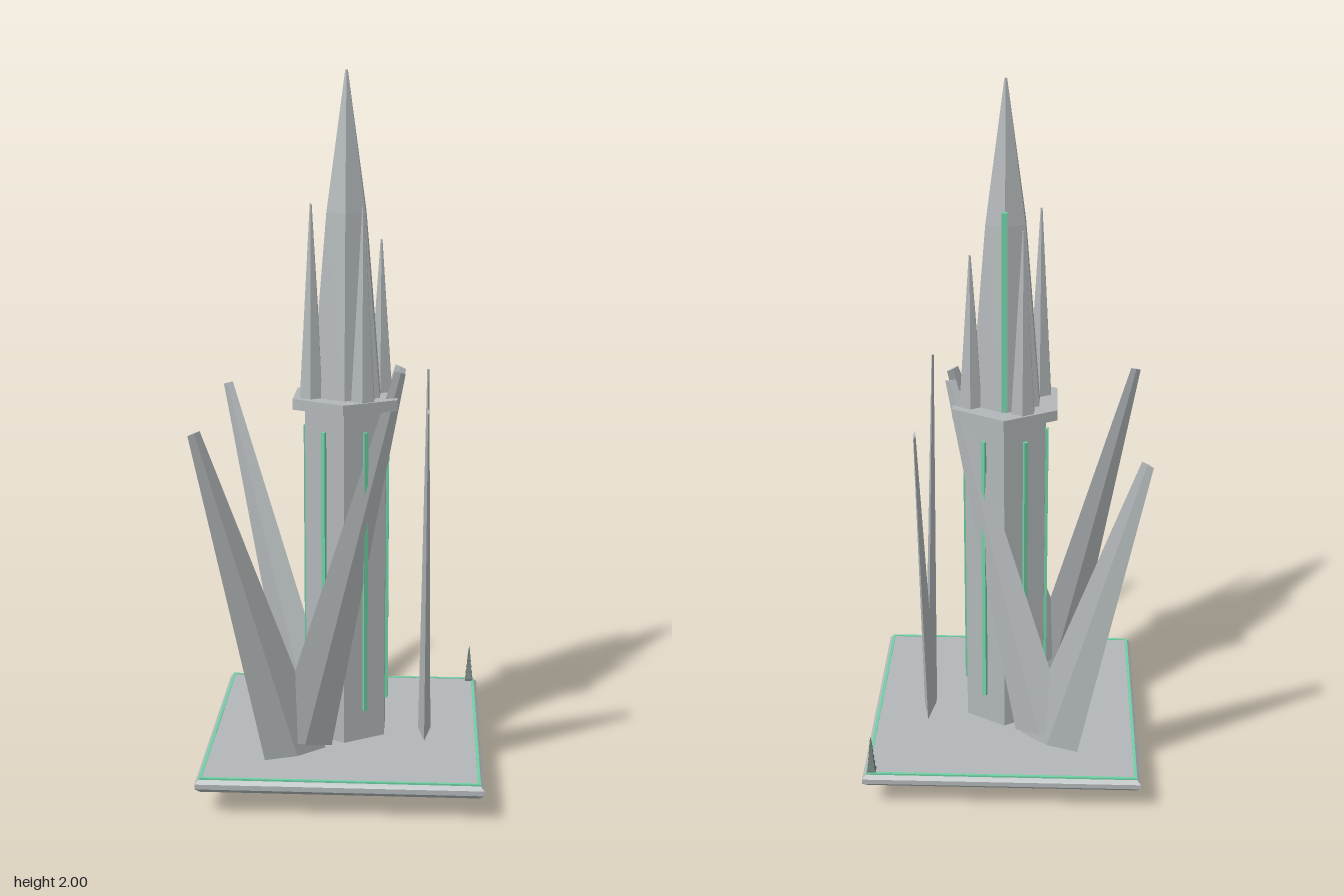
import * as THREE from 'three';

export function createModel() {
  const model = new THREE.Group();
  const material = (name, color) => {
    const m = new THREE.MeshStandardMaterial({ color });
    m.name = name;
    m.flatShading = true;
    return m;
  };
  const stone = material('pale stone', 0xb2b7b9);
  const glow = material('mint glow', 0x6fcfa4);
  const dark = material('dark metal', 0x6f7d78);

  const add = (name, geometry, mat, x = 0, y = 0, z = 0, parent = model) => {
    const mesh = new THREE.Mesh(geometry, mat);
    mesh.name = name;
    mesh.position.set(x, y, z);
    parent.add(mesh);
    return mesh;
  };
  const square = (h) => [[-h, -h], [h, -h], [h, h], [-h, h]].map(([x, y]) => new THREE.Vector2(x, y));

  // Prism or pyramid standing on y0
  const prism = (name, rBottom, rTop, y0, y1, sides = 6, x = 0, z = 0, mat = stone) =>
    add(name, new THREE.CylinderGeometry(rTop, rBottom, y1 - y0, sides), mat, x, (y0 + y1) / 2, z);

  // Bevelled square base with a glowing inlay along its rim
  const slab = new THREE.ExtrudeGeometry(new THREE.Shape(square(0.382)), {
    depth: 0.014, bevelEnabled: true, bevelSize: 0.013, bevelThickness: 0.013, bevelSegments: 1,
  });
  slab.rotateX(-Math.PI / 2);
  add('base', slab, stone, 0, 0.083, 0);

  const rim = new THREE.Shape(square(0.385));
  rim.holes.push(new THREE.Path(square(0.377).reverse()));
  const rimGeometry = new THREE.ExtrudeGeometry(rim, { depth: 0.005, bevelEnabled: false });
  rimGeometry.rotateX(-Math.PI / 2);
  add('baseInlay', rimGeometry, glow, 0, 0.107, 0);

  // Hexagonal tower, collar and central spire
  prism('tower', 0.13, 0.13, 0.08, 1.09);
  prism('collar', 0.168, 0.168, 1.08, 1.11);
  const profile = [[0, 1.11], [0.11, 1.11], [0.062, 1.62], [0.004, 2], [0, 2]];
  add('spire', new THREE.LatheGeometry(profile.map(([r, y]) => new THREE.Vector2(r, y)), 6), stone);

  // Four unequal pinnacles around the spire
  for (const [x, z, top] of [[-0.095, 0.05, 1.645], [0.05, 0.095, 1.64], [0.095, -0.05, 1.54], [-0.05, -0.095, 1.62]])
    prism('pinnacle', 0.037, 0.003, 1.1, top, 6, x, z);

  add('antenna', new THREE.BoxGeometry(0.016, 0.57, 0.016), glow, 0, 1.385, -0.1);

  // One light strip in the middle of each tower face
  for (let i = 0; i < 6; i++) {
    const a = (i * Math.PI) / 3;
    const strip = add('lightStrip', new THREE.BoxGeometry(0.015, 0.82, 0.012), glow,
      Math.cos(a) * 0.114, 0.61, Math.sin(a) * 0.114);
    strip.rotation.y = -a;
  }

  // Three V-shaped fins, each of two flat tapering crystal blades
  const blade = new THREE.CylinderGeometry(0.018, 0.097, 1.085, 4);
  blade.translate(0, 1.085 / 2, 0);
  blade.scale(1, 1, 0.19);
  const lean = THREE.MathUtils.degToRad(16.5);
  for (const [x, z, turn, shift] of [
    [0.23, 0, Math.PI / 2, 0],
    [-0.115, -0.2, -Math.PI / 6, 0.055],
    [-0.115, 0.2, Math.PI / 6, 0.055],
  ]) {
    const fin = new THREE.Group();
    fin.name = 'fin';
    fin.position.set(x, 0.085, z);
    fin.rotation.y = turn;
    for (const side of [-1, 1])
      add('finBlade', blade, stone, 0, side * shift, 0, fin).rotation.z = -side * lean;
    model.add(fin);
  }

  // Small tiered beacon in the back corner
  add('beaconFoot', new THREE.BoxGeometry(0.024, 0.01, 0.024), dark, 0.37, 0.112, -0.37);
  for (let i = 0; i < 5; i++) {
    const r = 0.017 - i * 0.0027;
    const y = 0.115 + i * 0.019;
    prism('beaconTier', r, r * 0.45, y, y + 0.022, 4, 0.37, -0.37, dark).rotation.y = Math.PI / 4;
  }
  prism('beaconTip', 0.003, 0.001, 0.2, 0.222, 4, 0.37, -0.37, dark);

  return model;
}
